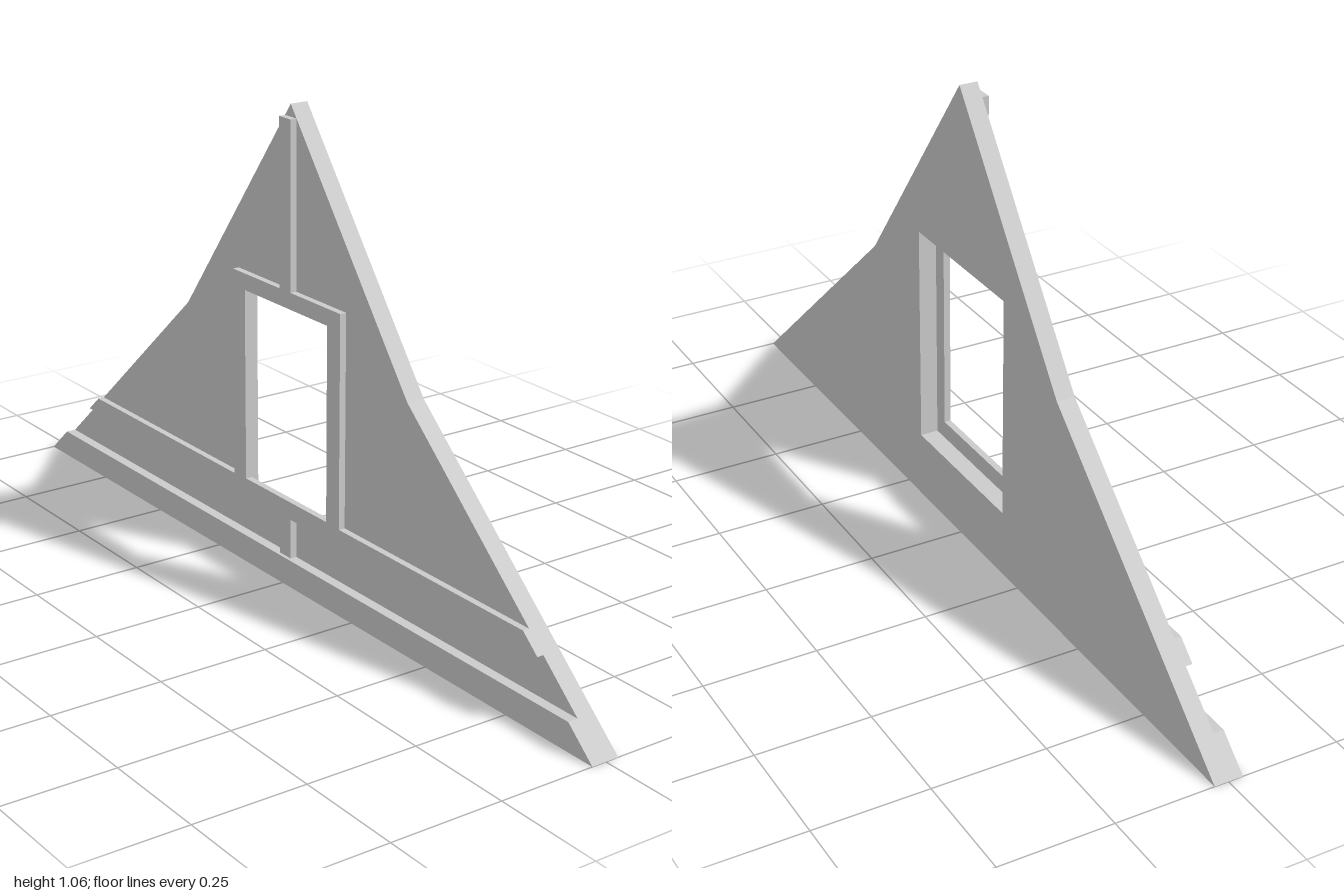
import * as THREE from 'three';

const material = new THREE.MeshStandardMaterial({ color: 0xcccccc, flatShading: true });

// half-width of the gable below the kink in its slope
const slopeX = (y) => 1 - y * (0.6 / 0.53);

// closed outline from its right half, listed bottom to top
function mirrored(half) {
  const left = half.filter(([x]) => x > 0).map(([x, y]) => [-x, y]).reverse();
  return [...half, ...left].map(([x, y]) => new THREE.Vector2(x, y));
}

function rectHole(halfWidth, bottom, top) {
  return new THREE.Path(mirrored([[halfWidth, bottom], [halfWidth, top]]));
}

// flat slab between two depths
function slab(name, half, zBack, zFront, hole) {
  const shape = new THREE.Shape(mirrored(half));
  if (hole) shape.holes.push(hole);
  const geometry = new THREE.ExtrudeGeometry(shape, { depth: zFront - zBack, bevelEnabled: false });
  geometry.translate(0, 0, zBack);
  const mesh = new THREE.Mesh(geometry, material);
  mesh.name = name;
  return mesh;
}

export function createModel() {
  const group = new THREE.Group();
  group.name = 'gableWall';

  // wall with a window opening wider than the trim in front of it
  group.add(slab('wallPanel', [[1, 0], [0.4, 0.53], [0, 1.057]], -0.031, 0.01,
    rectHole(0.185, 0.152, 0.655)));

  // raised timbers: lower post, sill beam, window frame and king post in one piece
  group.add(slab('timberTrim', [
    [0.02, 0.06], [0.02, 0.152],
    [slopeX(0.152), 0.152], [slopeX(0.19), 0.19],
    [0.195, 0.19], [0.195, 0.662],
    [0.02, 0.662], [0.02, 1.03],
  ], 0.01, 0.025, rectHole(0.15, 0.192, 0.625)));

  // thicker board along the foot
  group.add(slab('baseBoard', [[1, 0], [slopeX(0.062), 0.062]], 0.01, 0.033));

  return group;
}
